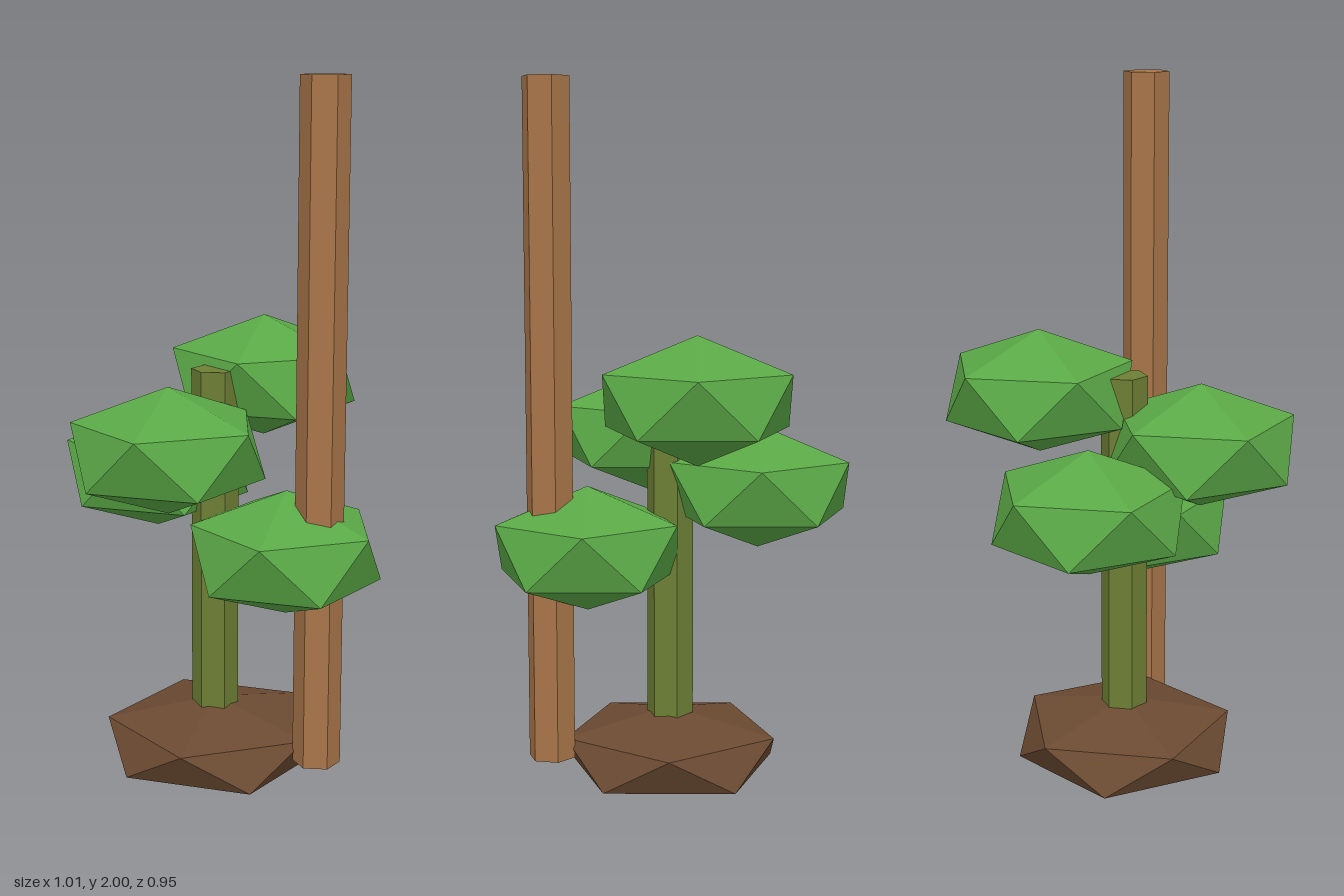
import * as THREE from 'three';

const GOLDEN = (1 + Math.sqrt(5)) / 2;

function flatMaterial(name, color) {
  const m = new THREE.MeshStandardMaterial({ color, flatShading: true });
  m.name = name;
  return m;
}

// Flattened icosahedron standing on a corner, one upper corner towards +x
function blob(name, material, radius, halfHeight, x, y, z) {
  const geo = new THREE.IcosahedronGeometry(1, 0);
  geo.rotateZ(-Math.atan(1 / GOLDEN));
  geo.scale(radius, halfHeight, radius);
  const mesh = new THREE.Mesh(geo, material);
  mesh.name = name;
  mesh.position.set(x, y, z);
  return mesh;
}

// Upright six-sided pole between two heights
function pole(name, material, x, z, bottom, top) {
  const geo = new THREE.CylinderGeometry(0.066, 0.066, top - bottom, 6);
  const mesh = new THREE.Mesh(geo, material);
  mesh.name = name;
  mesh.position.set(x, (bottom + top) / 2, z);
  return mesh;
}

export function createModel() {
  const leafGreen = flatMaterial('leafGreen', 0x5aa846);
  const stemOlive = flatMaterial('stemOlive', 0x6d7f35);
  const stakeBrown = flatMaterial('stakeBrown', 0xa87549);
  const soilBrown = flatMaterial('soilBrown', 0x6b4a32);

  const group = new THREE.Group();
  group.name = 'stakedPlant';

  // Soil mound, stem and support stake
  group.add(blob('soilMound', soilBrown, 0.344, 0.12, 0, 0.12, 0.012));
  group.add(pole('stem', stemOlive, 0, 0.011, 0.12, 1.2));
  group.add(pole('stake', stakeBrown, 0.347, 0.011, 0.127, 2));

  // Four leaf clumps around the stem
  const clumps = [
    ['leafClumpLeft', 0.24, 0.715, 0.011],
    ['leafClumpRight', -0.243, 0.875, -0.042],
    ['leafClumpFront', 0, 1.01, 0.226],
    ['leafClumpBack', 0, 1.145, -0.23],
  ];
  for (const [name, x, y, z] of clumps) {
    group.add(blob(name, leafGreen, 0.293, 0.175, x, y, z));
  }

  return group;
}
